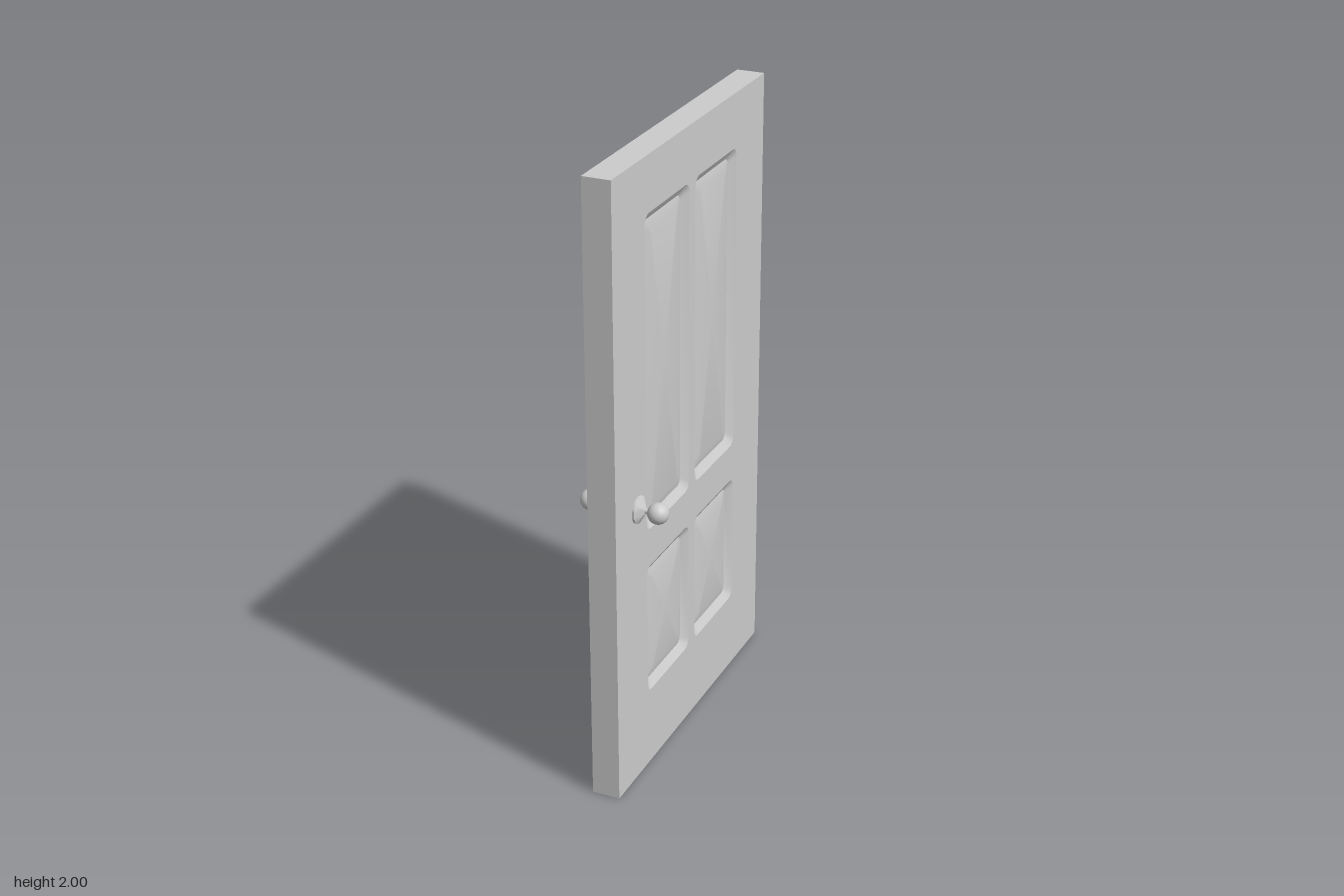
import * as THREE from 'three';
import { toCreasedNormals } from 'three/addons/utils/BufferGeometryUtils.js';

const HEIGHT = 2, HALF_WIDTH = 0.543, HALF_THICK = 0.045;
const KNOB_Z = 0.39, KNOB_Y = 0.93;
// Panel outlines on one face: [left, right, bottom, top]
const PANELS = [
  [-0.331, -0.022, 0.825, 1.827], [0.022, 0.331, 0.825, 1.827],
  [-0.331, -0.022, 0.26, 0.7], [0.022, 0.331, 0.26, 0.7],
];
// Moulding section: [inset from outline, depth, corner radius]
const SECTION = [[0, 0, 0.028], [0.028, -0.018, 0.02], [0.058, -0.011, 0.012]];

const material = new THREE.MeshStandardMaterial({ color: 0xcccccc });

function addMesh(parent, name, geometry) {
  const mesh = new THREE.Mesh(geometry, material);
  mesh.name = name;
  parent.add(mesh);
  return mesh;
}

// Counter-clockwise rounded rectangle, inset from a panel outline
function outline([l, r, b, t], inset, radius, steps = 4) {
  const corners = [[r, t, -1, -1], [l, t, 1, -1], [l, b, 1, 1], [r, b, -1, 1]];
  const points = [];
  corners.forEach(([x, y, sx, sy], c) => {
    for (let i = 0; i <= steps; i++) {
      const a = (c + i / steps) * Math.PI / 2;
      points.push(new THREE.Vector2(
        x + sx * (inset + radius) + radius * Math.cos(a),
        y + sy * (inset + radius) + radius * Math.sin(a)));
    }
  });
  return points;
}

// Recessed panel: bevel down, gentle rise, flat field
function panelGeometry(panel) {
  const positions = [], index = [];
  let n = 0;
  for (const [inset, depth, radius] of SECTION) {
    const ring = outline(panel, inset, radius);
    n = ring.length;
    ring.forEach(p => positions.push(p.x, p.y, depth));
  }
  for (let k = 0; k < SECTION.length - 1; k++) {
    for (let i = 0; i < n; i++) {
      const j = (i + 1) % n, a = k * n, b = a + n;
      index.push(a + i, a + j, b + j, a + i, b + j, b + i);
    }
  }
  const last = (SECTION.length - 1) * n, centre = SECTION.length * n;
  positions.push((panel[0] + panel[1]) / 2, (panel[2] + panel[3]) / 2, SECTION.at(-1)[1]);
  for (let i = 0; i < n; i++) index.push(last + i, last + (i + 1) % n, centre);
  const g = new THREE.BufferGeometry();
  g.setAttribute('position', new THREE.Float32BufferAttribute(positions, 3));
  g.setIndex(index);
  return toCreasedNormals(g, 0.5);
}

// Rosette, neck and ball, pointing along +z
function createKnob() {
  const knob = new THREE.Group();
  knob.name = 'doorKnob';
  const profile = [[0.043, 0], [0.043, 0.006], [0.014, 0.022], [0.008, 0.025], [0.008, 0.036]]
    .map(([x, y]) => new THREE.Vector2(x, y));
  const rosette = new THREE.LatheGeometry(profile, 32).rotateX(Math.PI / 2);
  addMesh(knob, 'rosetteAndNeck', toCreasedNormals(rosette, 0.6));
  addMesh(knob, 'knobBall', new THREE.SphereGeometry(0.033, 32, 20)).position.z = 0.065;
  return knob;
}

// One face of the door, turned to +x (side 1) or -x (side -1)
function createFace(side) {
  const face = new THREE.Group();
  face.name = side > 0 ? 'leftFace' : 'rightFace';
  const shape = new THREE.Shape([[-1, 0], [1, 0], [1, HEIGHT], [-1, HEIGHT]]
    .map(([x, y]) => new THREE.Vector2(x * HALF_WIDTH, y)));
  for (const p of PANELS) {
    shape.holes.push(new THREE.Path(outline(p, 0, SECTION[0][2]).reverse()));
    addMesh(face, 'recessedPanel', panelGeometry(p));
  }
  addMesh(face, 'faceFrame', new THREE.ShapeGeometry(shape));
  const knob = createKnob();
  knob.position.set(-side * KNOB_Z, KNOB_Y, 0);
  face.add(knob);
  face.rotation.y = side * Math.PI / 2;
  face.position.x = side * HALF_THICK;
  return face;
}

export function createModel() {
  const door = new THREE.Group();
  door.name = 'panelDoor';
  door.add(createFace(1), createFace(-1));

  // Narrow edges joining the two faces
  for (const s of [1, -1]) {
    const upright = addMesh(door, s > 0 ? 'frontEdge' : 'backEdge',
      new THREE.PlaneGeometry(2 * HALF_THICK, HEIGHT));
    upright.position.set(0, HEIGHT / 2, s * HALF_WIDTH);
    upright.rotation.y = s > 0 ? 0 : Math.PI;
    const level = addMesh(door, s > 0 ? 'topEdge' : 'bottomEdge',
      new THREE.PlaneGeometry(2 * HALF_THICK, 2 * HALF_WIDTH));
    level.position.y = s > 0 ? HEIGHT : 0;
    level.rotation.x = -s * Math.PI / 2;
  }
  return door;
}
